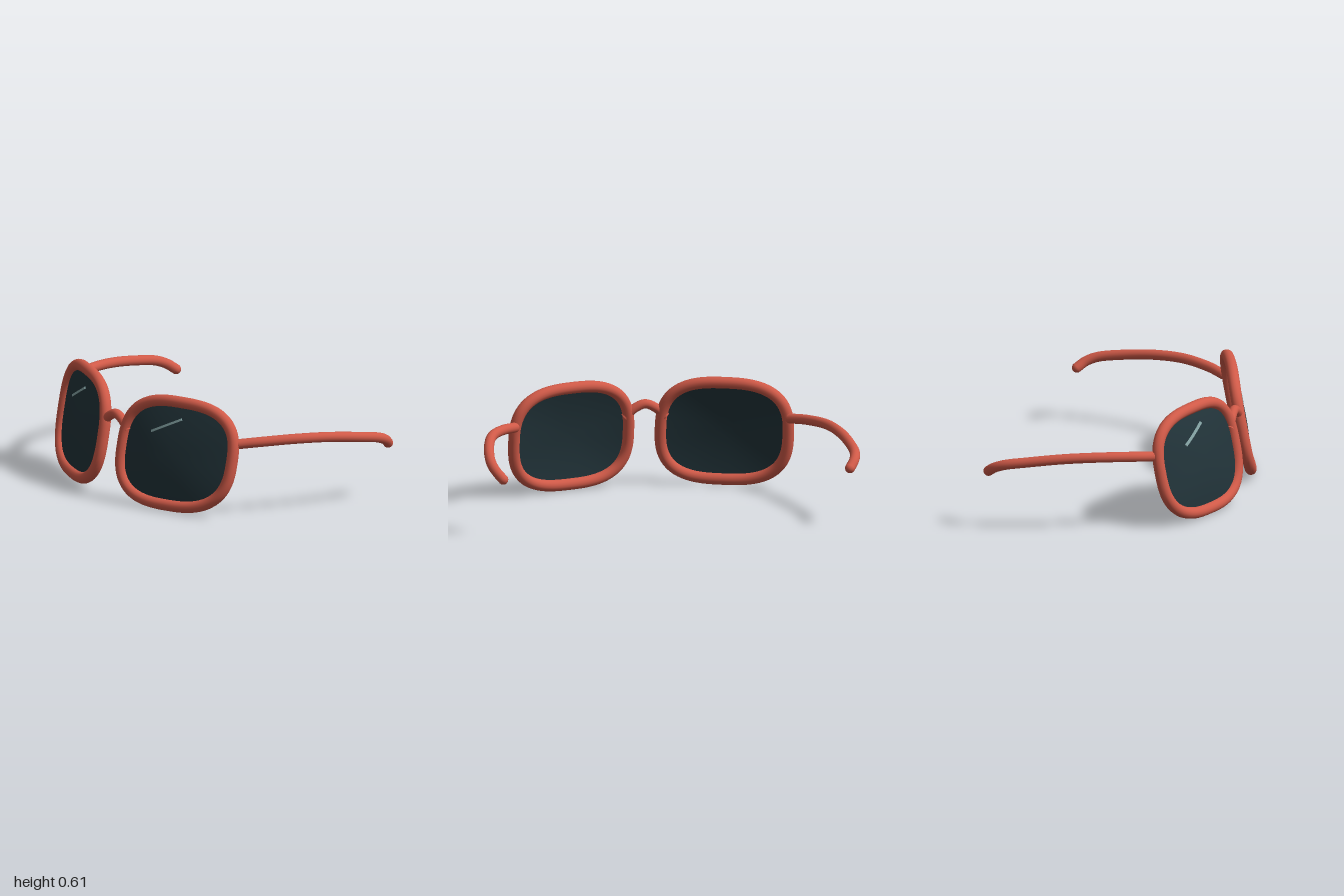
import * as THREE from 'three';

const CX = 0.41, CY = 0.303, A = 0.324, B = 0.272, POWER = 2.8;

// rounded-square rim outline: radius at an angle
const rimRadius = (t) =>
  Math.pow(Math.pow(Math.abs(Math.cos(t)) / A, POWER) + Math.pow(Math.abs(Math.sin(t)) / B, POWER), -1 / POWER);

// depth of the wrapped, tilted rim surface; d is the distance outward from the lens centre
const rimZ = (d, v) => 0.445 - 0.36 * d - 0.19 * v - 0.17 * d * d;

// the lens domes forward a little inside the rim
const lensZ = (d, v) => {
  const rho = Math.hypot(d, v) / rimRadius(Math.atan2(v, d));
  return rimZ(d, v) + 0.03 * Math.max(0, 1 - rho * rho);
};

export function createModel() {
  const group = new THREE.Group();
  const frameMat = new THREE.MeshStandardMaterial({ color: 0xd05a48 });
  frameMat.name = 'coral frame';
  const lensMat = new THREE.MeshStandardMaterial({ color: 0x22343a, side: THREE.DoubleSide });
  lensMat.name = 'dark lens';
  const glintMat = new THREE.MeshStandardMaterial({ color: 0x86a5a6 });
  glintMat.name = 'pale glint';

  const add = (name, geometry, material) => {
    const mesh = new THREE.Mesh(geometry, material);
    mesh.name = name;
    group.add(mesh);
    return mesh;
  };
  const tube = (name, points, radius, segments, closed = false) =>
    add(name, new THREE.TubeGeometry(new THREE.CatmullRomCurve3(points, closed), segments, radius, 16, closed), frameMat);

  for (const side of [1, -1]) {
    const label = side > 0 ? 'left' : 'right';

    // rim
    const rim = [];
    for (let i = 0; i < 48; i++) {
      const t = (i / 48) * Math.PI * 2, r = rimRadius(t);
      const u = r * Math.cos(t), v = r * Math.sin(t);
      rim.push(new THREE.Vector3(side * CX + u, CY + v, rimZ(side * u, v)));
    }
    tube(label + 'Rim', rim, 0.031, 128, true);

    // domed lens
    const lens = new THREE.RingGeometry(0, 1, 64, 10);
    const lp = lens.attributes.position;
    for (let i = 0; i < lp.count; i++) {
      const x = lp.getX(i), y = lp.getY(i);
      const r = rimRadius(Math.atan2(y, x));
      const u = x * r, v = y * r;
      lp.setXYZ(i, side * CX + u, CY + v, lensZ(side * u, v));
    }
    lens.computeVertexNormals();
    add(label + 'Lens', lens, lensMat);

    // slanted reflection strip lying on the lens
    const glint = new THREE.BoxGeometry(0.182, 0.012, 0.006, 8, 1, 1);
    glint.rotateZ(0.48);
    const gp = glint.attributes.position;
    for (let i = 0; i < gp.count; i++) {
      const u = gp.getX(i) - 0.053, v = gp.getY(i) + 0.147;
      gp.setXYZ(i, side * CX + u, CY + v, lensZ(side * u, v) + 0.004 + gp.getZ(i));
    }
    glint.computeVertexNormals();
    add(label + 'Glint', glint, glintMat);

    // temple arm with rounded ends
    const arm = [
      [0.738, 0.398, 0.268], [0.81, 0.41, 0.17], [0.892, 0.418, 0.01], [0.94, 0.409, -0.17],
      [0.967, 0.384, -0.36], [0.97, 0.362, -0.48], [0.955, 0.338, -0.54], [0.928, 0.308, -0.58],
    ].map(([x, y, z]) => new THREE.Vector3(side * x, y, z));
    tube(label + 'Temple', arm, 0.027, 72);
    for (const [name, p] of [['Hinge', arm[0]], ['TempleTip', arm[arm.length - 1]]]) {
      add(label + name, new THREE.SphereGeometry(0.027, 16, 12), frameMat).position.copy(p);
    }
  }

  // arched nose bridge
  tube('bridge', [
    [-0.11, 0.375, 0.525], [-0.06, 0.422, 0.522], [0, 0.447, 0.52], [0.06, 0.422, 0.522], [0.11, 0.375, 0.525],
  ].map((p) => new THREE.Vector3(...p)), 0.025, 32);

  return group;
}
